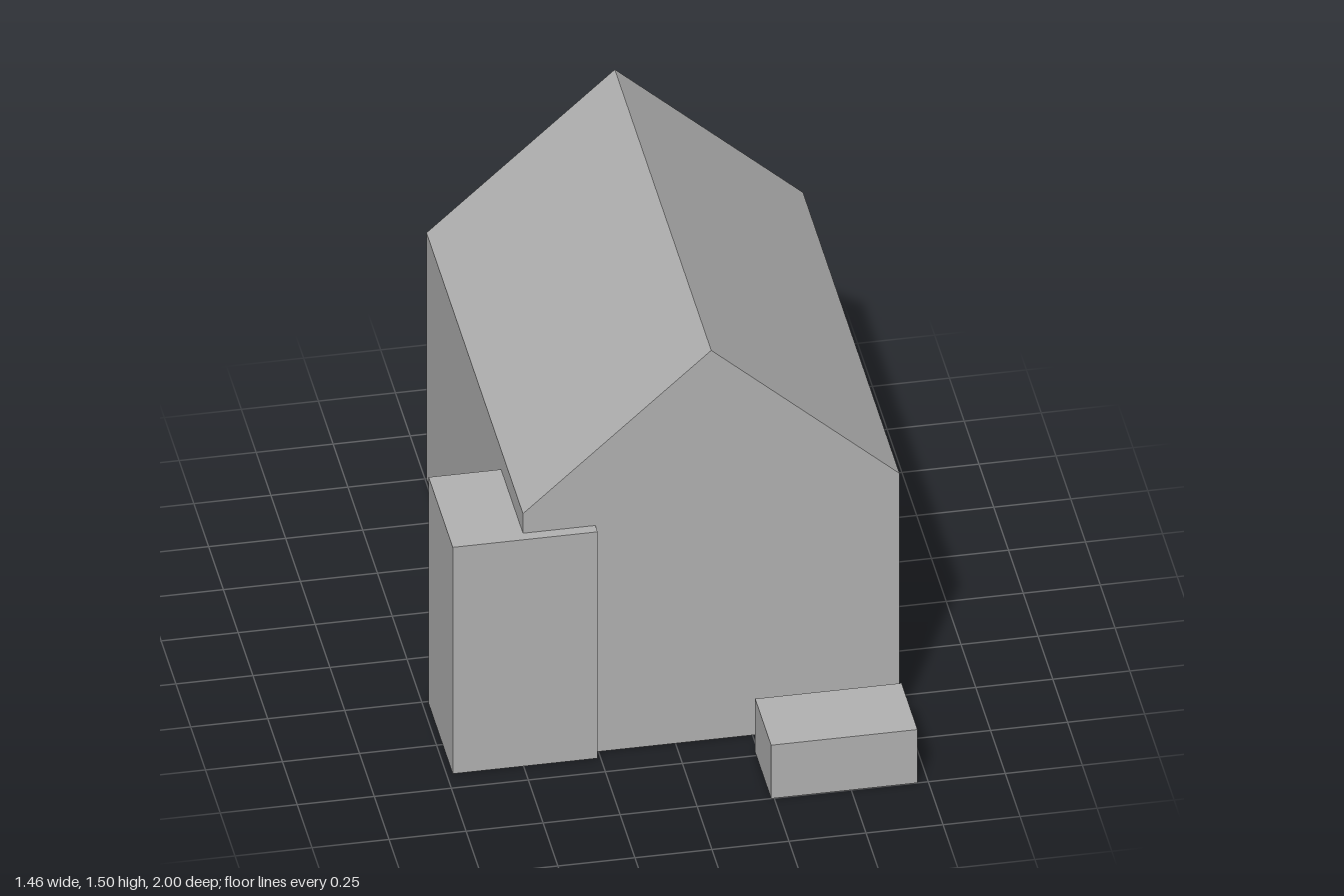
import * as THREE from 'three';

export function createModel() {
  const model = new THREE.Group();
  model.name = 'house';
  const grey = new THREE.MeshStandardMaterial({ color: 0xb2b2b2, side: THREE.DoubleSide });
  grey.name = 'plain grey';

  // Flat polygon placed at an origin, spanned by directions u and v, facing u x v
  function panel(parent, name, origin, u, v, points) {
    const shape = new THREE.Shape(points.map(([a, b]) => new THREE.Vector2(a, b)));
    const geometry = new THREE.ShapeGeometry(shape);
    const U = new THREE.Vector3(...u), V = new THREE.Vector3(...v);
    const W = new THREE.Vector3().crossVectors(U, V);
    geometry.applyMatrix4(new THREE.Matrix4().makeBasis(U, V, W).setPosition(...origin));
    geometry.computeVertexNormals();
    const mesh = new THREE.Mesh(geometry, grey);
    mesh.name = name;
    parent.add(mesh);
  }
  const rect = (a0, b0, a1, b1) => [[a0, b0], [a1, b0], [a1, b1], [a0, b1]];
  const group = (name) => {
    const g = new THREE.Group();
    g.name = name;
    model.add(g);
    return g;
  };
  const X = [1, 0, 0], Y = [0, 1, 0], Z = [0, 0, 1], NX = [-1, 0, 0], NZ = [0, 0, -1];

  // Main house extents, and the annex on its front corner
  const x0 = -0.495, x1 = 0.727, z0 = -1, z1 = 0.633, eave = 0.945, ridge = 1.495;
  const mid = (x0 + x1) / 2, half = (x1 - x0) / 2, rise = ridge - eave;
  const ax0 = -0.73, ax1 = -0.26, az0 = 0.262, az1 = 0.67, aTop = 0.87;

  // House shell, open below, with the corner opened into the annex
  const house = group('mainHouse');
  panel(house, 'frontGable', [0, 0, z1], X, Y,
    [[ax1, 0], [x1, 0], [x1, eave], [mid, ridge], [x0, eave], [x0, aTop], [ax1, aTop]]);
  panel(house, 'backGable', [0, 0, z0], NX, Y,
    [[-x1, 0], [-x0, 0], [-x0, eave], [-mid, ridge], [-x1, eave]]);
  panel(house, 'leftWall', [x1, 0, 0], NZ, Y, rect(-z1, 0, -z0, eave));
  panel(house, 'rightWall', [x0, 0, 0], Z, Y,
    [[z0, 0], [az0, 0], [az0, aTop], [z1, aTop], [z1, eave], [z0, eave]]);
  panel(house, 'leftRoof', [x1, eave, 0], NZ, [-half, rise, 0], rect(-z1, 0, -z0, 1));
  panel(house, 'rightRoof', [x0, eave, 0], Z, [half, rise, 0], rect(z0, 0, z1, 1));

  // Annex shell wrapped round the corner
  const annex = group('annex');
  panel(annex, 'annexFront', [0, 0, az1], X, Y, rect(ax0, 0, ax1, aTop));
  panel(annex, 'annexOuterSide', [ax0, 0, 0], Z, Y, rect(az0, 0, az1, aTop));
  panel(annex, 'annexBack', [0, 0, az0], NX, Y, rect(-x0, 0, -ax0, aTop));
  panel(annex, 'annexInnerSide', [ax1, 0, 0], NZ, Y, rect(-az1, 0, -z1, aTop));
  panel(annex, 'annexTop', [0, aTop, 0], X, NZ,
    [[ax0, -az1], [ax1, -az1], [ax1, -z1], [x0, -z1], [x0, -az0], [ax0, -az0]]);

  // Low block in front, open below
  const block = group('frontBlock');
  const bx0 = 0.24, bx1 = 0.715, bz0 = 0.73, bz1 = 1, bTop = 0.205;
  panel(block, 'blockFront', [0, 0, bz1], X, Y, rect(bx0, 0, bx1, bTop));
  panel(block, 'blockBack', [0, 0, bz0], NX, Y, rect(-bx1, 0, -bx0, bTop));
  panel(block, 'blockLeft', [bx1, 0, 0], NZ, Y, rect(-bz1, 0, -bz0, bTop));
  panel(block, 'blockRight', [bx0, 0, 0], Z, Y, rect(bz0, 0, bz1, bTop));
  panel(block, 'blockTop', [0, bTop, 0], X, NZ, rect(bx0, -bz1, bx1, -bz0));

  return model;
}
